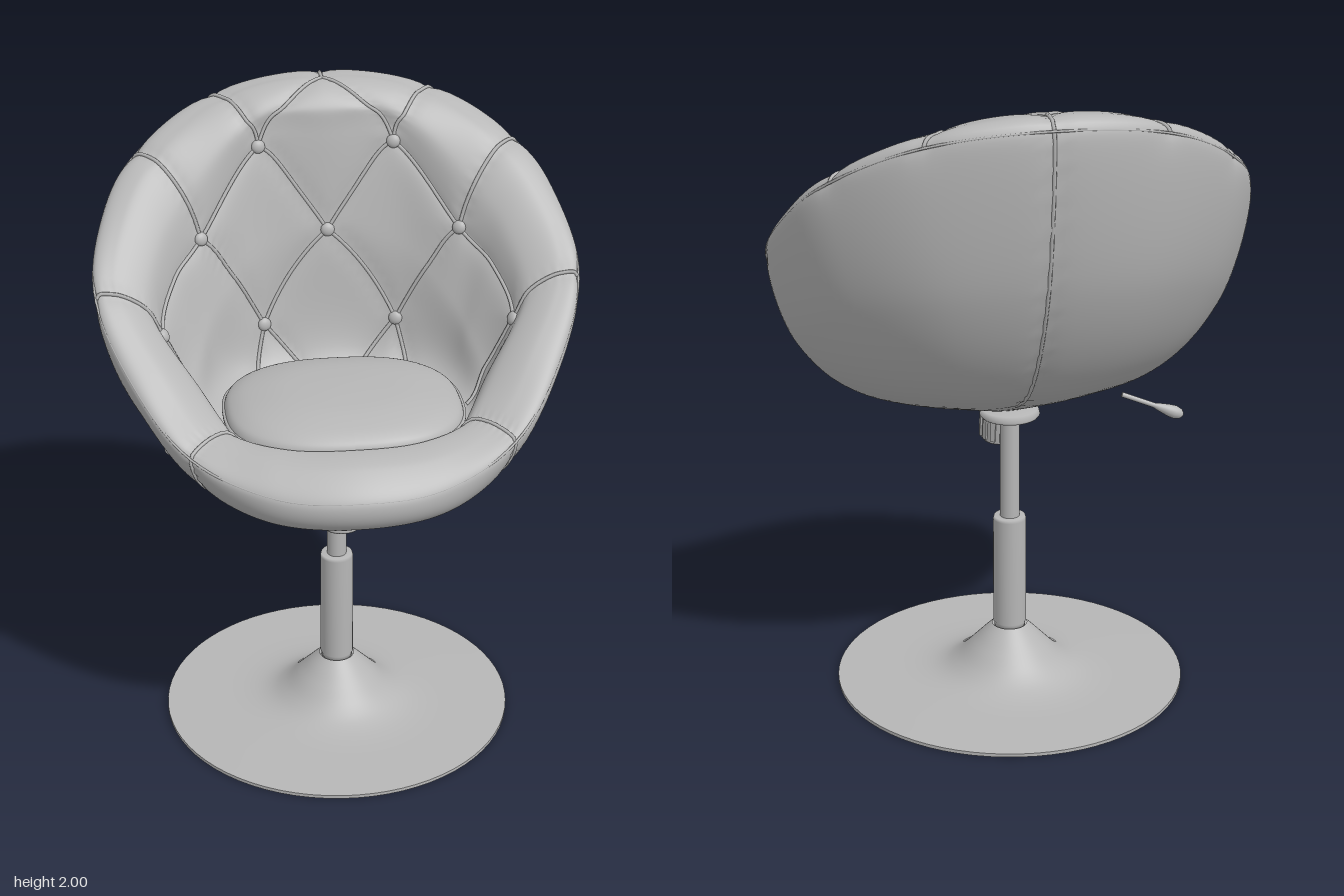
import * as THREE from 'three';
import { mergeVertices } from 'three/addons/utils/BufferGeometryUtils.js';

const V = (x, y, z) => new THREE.Vector3(x, y, z);

// Half rings of the bucket from front to back on the +x side
const BELLY = [[0, 0.95, 0.535], [0.25, 0.955, 0.48], [0.44, 1, 0.335], [0.56, 1.09, 0.17], [0.655, 1.2, 0],
  [0.625, 1.3, -0.18], [0.52, 1.4, -0.345], [0.3, 1.45, -0.48], [0, 1.46, -0.52]];
const OUTER_RIM = [[0, 1.045, 0.58], [0.25, 1.05, 0.53], [0.49, 1.12, 0.38], [0.645, 1.28, 0.2], [0.74, 1.47, 0],
  [0.71, 1.63, -0.2], [0.605, 1.77, -0.365], [0.36, 1.89, -0.515], [0, 1.93, -0.58]];
const INNER_RIM = [[0, 1.125, 0.4], [0.2, 1.125, 0.37], [0.33, 1.13, 0.27], [0.43, 1.22, 0.13], [0.53, 1.36, 0],
  [0.49, 1.48, -0.13], [0.4, 1.57, -0.23], [0.21, 1.815, -0.36], [0, 1.84, -0.365]];
const LINING = [[0, 1.06, 0.39], [0.19, 1.06, 0.35], [0.32, 1.07, 0.25], [0.41, 1.13, 0.13], [0.45, 1.2, 0],
  [0.42, 1.27, -0.1], [0.37, 1.35, -0.18], [0.22, 1.5, -0.29], [0, 1.545, -0.32]];
const CREST_LIFT = [0.045, 0.04, 0.04, 0.08, 0.09, 0.12, 0.145, 0.1, 0.112];
const POLE = V(0, 0.905, 0.02);

// Rounded-square outline of the cushion
function squircle(a, r) {
  const c = Math.cos(a), s = Math.sin(a), n = 2.6;
  const k = r / (Math.abs(c) ** n + Math.abs(s) ** n) ** (1 / n);
  return [0.365 * k * c, 0.1 + 0.3 * k * s];
}

// One column of the bucket: underside, belly, padded rim, lining, seat floor
function column(i) {
  const h = Math.min(i, 16 - i);
  const [belly, outer, inner, lining] = [BELLY, OUTER_RIM, INNER_RIM, LINING].map((ring) => V(...ring[h]));
  const under = belly.clone().sub(POLE).multiply(V(0.67, 0.34, 0.62)).add(POLE);
  const crest = outer.clone().lerp(inner, 0.5).multiply(V(1.07, 1, 1.02));
  crest.y += CREST_LIFT[h];
  const roll = crest.clone().lerp(inner, 0.5).multiply(V(0.96, 1, 0.92));
  roll.y += 0.02;
  const [x, z] = squircle(Math.PI / 2 - h * Math.PI / 8, 0.96);
  const floor = V(x, 1.1 - 0.16 * z, z - 0.04);
  const points = [POLE.clone(), under, belly, outer, crest, roll, inner, lining, floor, V(0, 1.07, 0.08)];
  if (i > 8) points.forEach((p) => { p.x = -p.x; });
  return points;
}
const COLUMNS = Array.from({ length: 16 }, (_, i) => column(i));

function blend(get, t) {
  const i = Math.floor(t), f = t - i;
  const w = [(-f + 2 * f * f - f ** 3) / 2, (2 - 5 * f * f + 3 * f ** 3) / 2,
    (f + 4 * f * f - 3 * f ** 3) / 2, (f ** 3 - f * f) / 2];
  return w.reduce((sum, k, n) => sum.addScaledVector(get(i + n - 1), k), V(0, 0, 0));
}
const control = (i, j) => COLUMNS[((i % 16) + 16) % 16][THREE.MathUtils.clamp(j, 0, 9)];
const surface = (u, v) => blend((j) => blend((i) => control(i, j), u), v);
function normalAt(u, v) {
  const e = 0.02, along = surface(u + e, v).sub(surface(u - e, v));
  return along.cross(surface(u, v + e).sub(surface(u, v - e))).normalize();
}
const onSurface = (u, v, lift) => surface(u, v).addScaledVector(normalAt(u, v), lift);

// Stitch lines as [u, v, u, v] on the bucket, and the tufting buttons as [u, v]
const HALF_SEAMS = [
  [2, 0.6, 2, 7.9], [4, 3.15, 4, 6], [6, 3.15, 6, 6], [7, 3.15, 7, 6], [8, 4, 7, 6],
  [7, 6, 8, 7], [7, 6, 6, 6], [6, 6, 6.85, 7.58], [8, 7, 6.85, 7.58], [6, 6, 4, 6],
  [4, 6, 4, 7.8], [6.85, 7.58, 7.3, 8], [6.85, 7.58, 6.3, 8],
];
const SEAMS = [...HALF_SEAMS, ...HALF_SEAMS.map(([a, b, c, d]) => [16 - a, b, 16 - c, d]), [8, 0.5, 8, 4]];
const HALF_BUTTONS = [[7, 6], [6, 6], [4, 6], [6.85, 7.58]];
const BUTTONS = [...HALF_BUTTONS, ...HALF_BUTTONS.map(([u, v]) => [16 - u, v]), [8, 7]];
const DEPTH = 0.012;

const seamPath = ([a, b, c, d], lift, n = 30) => Array.from({ length: n + 1 }, (_, i) =>
  onSurface(a + (c - a) * i / n, b + (d - b) * i / n, lift));

// Padded bucket with soft grooves sunk along the stitch lines
function bucketGeometry() {
  const U = 160, W = 126, pos = [], index = [];
  const marks = SEAMS.flatMap((s) => seamPath(s, 0));
  for (let j = 0; j <= W; j++) for (let i = 0; i < U; i++) {
    const u = i * 16 / U, v = j * 9 / W, p = surface(u, v);
    if (j > 0 && j < W) {
      let d2 = 1;
      for (const m of marks) d2 = Math.min(d2, m.distanceToSquared(p));
      p.addScaledVector(normalAt(u, v), -DEPTH * Math.exp(-Math.sqrt(d2) / 0.028));
    }
    pos.push(p.x, p.y, p.z);
    if (j === W) continue;
    const a = j * U + i, b = j * U + (i + 1) % U;
    if (j > 0) index.push(a, b, b + U);
    if (j < W - 1) index.push(a, b + U, a + U);
  }
  const raw = new THREE.BufferGeometry();
  raw.setAttribute('position', new THREE.Float32BufferAttribute(pos, 3));
  raw.setIndex(index);
  const g = mergeVertices(raw, 1e-5);
  g.computeVertexNormals();
  return g;
}

const points2 = (pts) => pts.map(([x, y]) => new THREE.Vector2(x, y));
const lathe = (pts, n = 48) => new THREE.LatheGeometry(points2(pts), n);
const smoothLathe = (pts) => new THREE.LatheGeometry(
  new THREE.SplineCurve(points2(pts)).getPoints(40).map((p) => p.setX(Math.max(0, p.x))), 72);
const tube = (pts, r, closed = false) =>
  new THREE.TubeGeometry(new THREE.CatmullRomCurve3(pts, closed), closed ? 128 : 40, r, 6, closed);

// Domed cushion: a turned profile pushed out to the rounded-square outline
function cushionGeometry() {
  const g = smoothLathe([[0, 1.03], [0.9, 1.03], [0.98, 1.07], [1, 1.115], [0.985, 1.145], [0.93, 1.165],
    [0.8, 1.185], [0.55, 1.203], [0.25, 1.21], [0, 1.212]]);
  const p = g.attributes.position;
  for (let i = 0; i < p.count; i++) {
    const r = Math.hypot(p.getX(i), p.getZ(i));
    const [x, z] = squircle(Math.atan2(p.getZ(i), p.getX(i)), r);
    p.setXYZ(i, x, p.getY(i), z);
  }
  g.computeVertexNormals();
  return g;
}

export function createModel() {
  const model = new THREE.Group();
  model.name = 'tuftedSwivelChair';
  const grey = new THREE.MeshStandardMaterial({ color: 0xb6b6b6 });
  grey.name = 'plain grey';
  const add = (name, geometry, parent = model) => {
    const m = new THREE.Mesh(geometry, grey);
    m.name = name;
    parent.add(m);
    return m;
  };
  const group = (name) => {
    const g = new THREE.Group();
    g.name = name;
    model.add(g);
    return g;
  };

  // Upholstery
  add('bucketShell', bucketGeometry());
  add('seatCushion', cushionGeometry());
  add('cushionPiping', tube(Array.from({ length: 48 }, (_, i) => {
    const [x, z] = squircle(i / 48 * Math.PI * 2, 1);
    return V(x, 1.13, z);
  }), 0.007, true));
  const seams = group('seams');
  SEAMS.forEach((s) => add('seam', tube(seamPath(s, -DEPTH + 0.004), 0.006), seams));
  add('rimPiping', tube(Array.from({ length: 64 }, (_, i) => onSurface(i / 4, 3.15, -0.003)), 0.004, true), seams);
  const buttons = group('buttons');
  BUTTONS.forEach(([u, v]) => {
    const b = add('button', new THREE.SphereGeometry(0.022, 16, 10), buttons);
    b.scale.y = 0.6;
    b.position.copy(onSurface(u, v, -0.006));
    b.quaternion.setFromUnitVectors(V(0, 1, 0), normalAt(u, v));
  });

  // Pedestal
  const pedestal = group('pedestal');
  pedestal.position.x = -0.01;
  add('baseFlare', smoothLathe([[0.555, 0.011], [0.42, 0.013], [0.3, 0.018], [0.225, 0.033], [0.17, 0.065], [0.12, 0.115], [0.085, 0.152], [0.056, 0.18]]), pedestal);
  add('baseDisc', new THREE.CylinderGeometry(0.56, 0.56, 0.011, 72), pedestal).position.y = 0.0055;
  add('lowerColumn', lathe([[0, 0.17], [0.05, 0.17], [0.05, 0.185], [0.053, 0.19], [0.053, 0.55], [0.05, 0.56], [0, 0.56]], 32), pedestal);
  add('gasPiston', new THREE.CylinderGeometry(0.031, 0.031, 0.38, 32), pedestal).position.y = 0.73;
  add('mountingPlate', lathe([[0, 0.888], [0.035, 0.888], [0.09, 0.903], [0.095, 0.91], [0.09, 0.93], [0, 0.93]]), pedestal);

  // Tension knob: ribbed neck and fluted grip
  const knob = group('tensionKnob');
  knob.position.set(-0.015, 0.755, 0.185);
  knob.rotation.x = -0.15;
  add('grip', lathe([[0, 0], [0.05, 0], [0.056, 0.008], [0.056, 0.115], [0.05, 0.122], [0, 0.122]], 32), knob);
  for (let i = 0; i < 12; i++) {
    const a = i / 12 * Math.PI * 2;
    const ridge = add('gripRidge', new THREE.BoxGeometry(0.016, 0.095, 0.012), knob);
    ridge.position.set(Math.sin(a) * 0.056, 0.062, Math.cos(a) * 0.056);
    ridge.rotation.y = a;
  }
  const folds = [[0, 0.12]];
  for (let i = 0; i < 5; i++) folds.push([0.054 + i * 0.005, 0.122 + i * 0.014], [0.062 + i * 0.005, 0.129 + i * 0.014]);
  add('bellows', lathe([...folds, [0, 0.195]], 32), knob);

  // Height lever with a drop-shaped handle
  const lever = add('heightLever', lathe([[0, 0], [0.008, 0], [0.008, 0.11], [0.012, 0.125], [0.019, 0.16],
    [0.021, 0.18], [0.016, 0.2], [0.007, 0.208], [0, 0.209]], 20));
  lever.position.set(-0.35, 0.975, -0.09);
  lever.quaternion.setFromUnitVectors(V(0, 1, 0), V(-0.19, -0.075, -0.025).normalize());
  return model;
}
